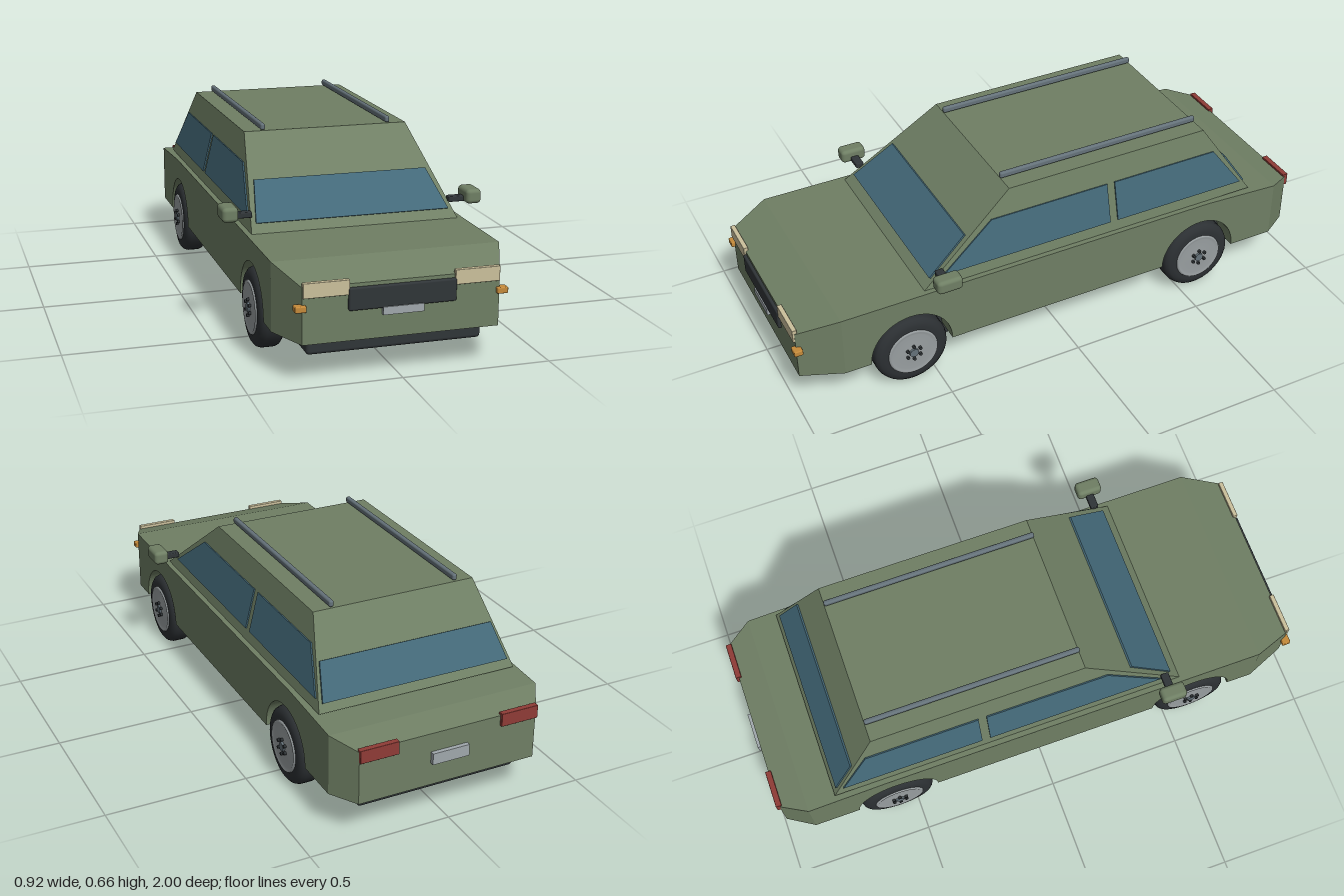
import * as THREE from 'three';
import { RoundedBoxGeometry } from 'three/addons/geometries/RoundedBoxGeometry.js';

const mat = (name, color) => {
  const m = new THREE.MeshStandardMaterial({ color });
  m.name = name;
  return m;
};

// Solid between two matching four-point rings (anticlockwise seen from the b side)
function block(a, b) {
  const pos = [];
  const quad = (p, q, r, s) => pos.push(...p, ...q, ...r, ...p, ...r, ...s);
  quad(...b);
  quad(a[3], a[2], a[1], a[0]);
  for (let i = 0; i < 4; i++) {
    const j = (i + 1) % 4;
    quad(a[i], a[j], b[j], b[i]);
  }
  const g = new THREE.BufferGeometry();
  g.setAttribute('position', new THREE.Float32BufferAttribute(pos, 3));
  g.computeVertexNormals();
  return g;
}

export function createModel() {
  const car = new THREE.Group();
  car.name = 'estateCar';
  const paint = mat('green paint', 0x6f7f64);
  const glass = mat('blue glass', 0x436878);
  const trim = mat('dark trim', 0x303538);
  const rubber = mat('tyre rubber', 0x2c3033);
  const alloy = mat('wheel alloy', 0x989ea0);
  const steel = mat('blue grey steel', 0x65727a);
  const cream = mat('headlight cream', 0xcbc09c);
  const amber = mat('indicator amber', 0xc58a3a);
  const red = mat('tail light red', 0x8f3b36);
  const plate = mat('plate grey', 0xa0a8ac);

  const add = (name, geometry, material, parent = car) => {
    const m = new THREE.Mesh(geometry, material);
    m.name = name;
    parent.add(m);
    return m;
  };
  // Box given by its extents on each axis, with softened edges if r > 0
  const box = (name, material, [x0, x1], [y0, y1], [z0, z1], r = 0) => {
    const size = [x1 - x0, y1 - y0, z1 - z0];
    const g = r ? new RoundedBoxGeometry(...size, 2, r) : new THREE.BoxGeometry(...size);
    const m = add(name, g, material);
    m.position.set((x0 + x1) / 2, (y0 + y1) / 2, (z0 + z1) / 2);
    return m;
  };
  const span = (s, a, b) => (s > 0 ? [a, b] : [-b, -a]);

  // Main body: side profile with open wheel arches
  const W = 0.383, floorY = 0.135, axleY = 0.138;
  const axles = [-0.568, 0.592];
  const side = new THREE.Shape();
  side.moveTo(-0.89, floorY);
  for (const z of axles) {
    side.lineTo(z - 0.152, floorY);
    side.absarc(z, axleY, 0.152, Math.PI, 0, true);
    side.lineTo(z + 0.152, floorY);
  }
  side.lineTo(0.84, floorY);
  side.lineTo(0.84, 0.365);
  side.lineTo(-0.6, 0.365);
  side.lineTo(-0.89, 0.35);
  const bodyGeo = new THREE.ExtrudeGeometry(side, { depth: 2 * W, bevelEnabled: false, curveSegments: 24 });
  bodyGeo.rotateY(-Math.PI / 2).translate(W, 0, 0);
  add('body', bodyGeo, paint);

  // Tapered nose and tail
  const section = (z, w, top) => {
    const s = Math.sign(z) * w;
    return [[-s, floorY, z], [s, floorY, z], [s, top, z], [-s, top, z]];
  };
  add('nose', block(section(0.84, W, 0.365), section(0.985, 0.324, 0.32)), paint);
  add('tail', block(section(-0.89, W, 0.35), section(-0.985, 0.324, 0.325)), paint);

  // Cabin
  const y0 = 0.365, y1 = 0.634;
  const low = { w: 0.364, f: 0.53, b: -0.785 }, high = { w: 0.298, f: 0.175, b: -0.607 };
  const at = (key, y) => THREE.MathUtils.lerp(low[key], high[key], (y - y0) / (y1 - y0));
  const ring = (c, y) => [[-c.w, y, c.f], [c.w, y, c.f], [c.w, y, c.b], [-c.w, y, c.b]];
  add('cabin', block(ring(low, y0), ring(high, y1)), paint);

  // Window panes, thin plates lying on the cabin walls
  const pane = (name, pts, off) =>
    add(name, block(pts, pts.map((p) => p.map((v, i) => v + off[i]))), glass);
  const ends = [['windscreen', 'f', 1, 0.341, 0.31], ['rearWindow', 'b', -1, 0.345, 0.32]];
  for (const [name, key, s, wl, wh] of ends) {
    const a = 0.391, b = 0.503;
    pane(name, [[-s * wl, a, at(key, a)], [s * wl, a, at(key, a)],
      [s * wh, b, at(key, b)], [-s * wh, b, at(key, b)]], [0, 0.003, s * 0.006]);
  }
  const sideWindows = [['frontSideWindow', 0.455, -0.198, -0.198, 0.255], ['rearSideWindow', -0.228, -0.747, -0.642, -0.228]];
  for (const s of [1, -1]) {
    for (const [name, lf, lb, hb, hf] of sideWindows) {
      const a = 0.402, b = 0.545;
      const pts = [[lf, a], [lb, a], [hb, b], [hf, b]].map(([z, y]) => [s * at('w', y), y, z]);
      pane(name, s > 0 ? pts : pts.reverse(), [s * 0.005, 0.001, 0]);
    }
  }

  // Underside
  box('chassis', trim, [-0.292, 0.292], [0.075, 0.18], [-0.922, 0.922], 0.012);
  box('floorPan', steel, [-0.253, 0.253], [0.055, 0.085], [-0.825, 0.825], 0.01);

  // Paired fittings
  for (const s of [1, -1]) {
    box('roofRail', steel, span(s, 0.222, 0.239), [0.636, 0.659], [-0.607, 0.178], 0.007);
    box('mirrorArm', trim, span(s, 0.35, 0.42), [0.409, 0.429], [0.455, 0.485], 0.004);
    box('mirror', paint, span(s, 0.403, 0.458), [0.405, 0.456], [0.425, 0.518], 0.014);
    box('headlight', cream, span(s, 0.173, 0.323), [0.286, 0.335], [0.975, 0.992], 0.002);
    box('indicator', amber, span(s, 0.313, 0.35), [0.244, 0.265], [0.968, 0.999], 0.004);
    box('tailLight', red, span(s, 0.188, 0.325), [0.288, 0.335], [-0.996, -0.975], 0.002);
  }

  // Grille and plates
  box('grille', trim, [-0.177, 0.177], [0.234, 0.308], [0.97, 0.996], 0.006);
  box('frontPlate', plate, [-0.067, 0.067], [0.213, 0.239], [0.98, 1]);
  box('rearPlate', plate, [-0.067, 0.067], [0.217, 0.258], [-1, -0.98]);

  // Wheels: tyre, dished rim, hub cap and bolts, turned about x
  const lathe = (pts) => new THREE.LatheGeometry(pts.map((p) => new THREE.Vector2(...p)), 40).rotateZ(-Math.PI / 2);
  const tyreGeo = lathe([[0, -0.045], [0.105, -0.045], [0.12, -0.042], [0.131, -0.033], [0.136, -0.02],
    [0.136, 0.02], [0.131, 0.033], [0.12, 0.042], [0.105, 0.045], [0.085, 0.045]]);
  const rimGeo = lathe([[0.092, 0.044], [0.09, 0.049], [0.084, 0.05], [0.074, 0.046], [0.035, 0.049], [0, 0.049]]);
  const capGeo = new THREE.CylinderGeometry(0.016, 0.018, 0.012, 20).rotateZ(-Math.PI / 2);
  const boltGeo = new THREE.CylinderGeometry(0.006, 0.006, 0.014, 8).rotateZ(-Math.PI / 2);
  for (const z of axles) {
    for (const s of [1, -1]) {
      const wheel = new THREE.Group();
      wheel.name = z > 0 ? 'frontWheel' : 'rearWheel';
      wheel.position.set(s * 0.343, axleY - 0.002, z);
      wheel.rotation.y = s > 0 ? 0 : Math.PI;
      add('tyre', tyreGeo, rubber, wheel);
      add('rim', rimGeo, alloy, wheel);
      add('hubCap', capGeo, steel, wheel).position.x = 0.05;
      for (let i = 0; i < 6; i++) {
        const a = (i / 6) * Math.PI * 2;
        add('bolt', boltGeo, trim, wheel).position.set(0.051, 0.027 * Math.cos(a), 0.027 * Math.sin(a));
      }
      car.add(wheel);
    }
  }
  return car;
}
